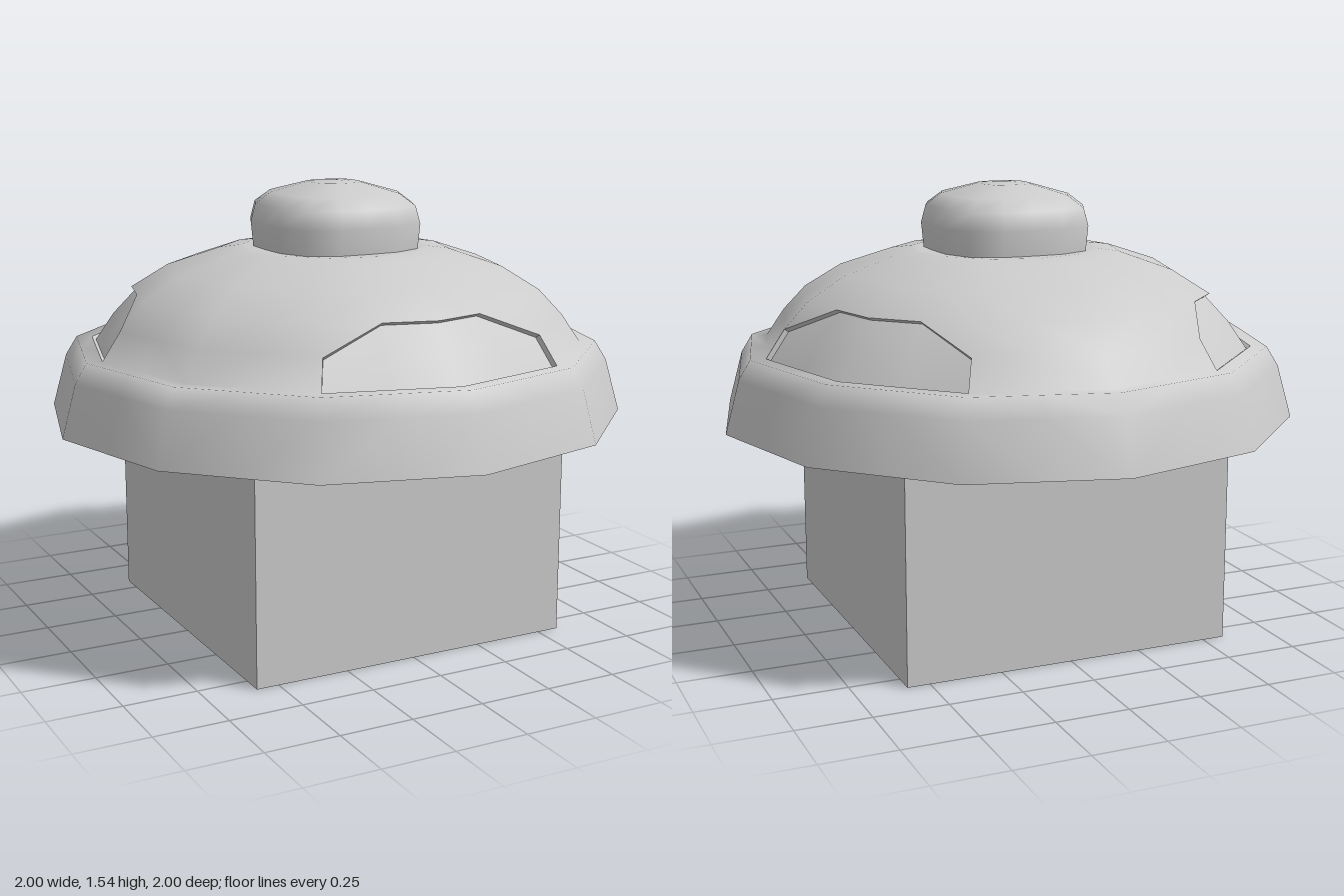
import * as THREE from 'three';

const material = new THREE.MeshStandardMaterial({ color: 0xcccccc });
const lipMaterial = new THREE.MeshStandardMaterial({ color: 0xcccccc, side: THREE.DoubleSide });

function mesh(name, geometry, mat = material) {
  const m = new THREE.Mesh(geometry, mat);
  m.name = name;
  return m;
}

function indexed(points, index) {
  const g = new THREE.BufferGeometry().setFromPoints(points);
  g.setIndex(index);
  g.computeVertexNormals();
  return g;
}

// Dome profile as [radius, height], from rim to crown
const PROFILE = [[1, 0.74], [0.95, 0.92], [0.91, 0.985], [0.855, 0.985], [0.79, 1.08],
  [0.71, 1.165], [0.58, 1.245], [0.4, 1.305], [0.32, 1.315]];
const COLS = 24; // twelve sides, each halved

function domePoint(col, row, inset = 0) {
  const a = col * Math.PI / 12;
  const r = (PROFILE[row][0] - inset) * (col % 2 ? Math.cos(Math.PI / 12) : 1);
  return new THREE.Vector3(Math.sin(a) * r, PROFILE[row][1] - inset * 0.7, Math.cos(a) * r);
}

// Two triangles of a cell; the diagonal follows the bevelled window corners
function cell(c, r) {
  const a = [c, r], b = [c + 1, r], d = [c + 1, r + 1], e = [c, r + 1];
  return ((c + COLS) % 8) >= 4 ? [[a, b, d], [a, d, e]] : [[a, b, e], [b, d, e]];
}

// True for triangles that belong to one of the three window openings
function inWindow(c, r, k) {
  const m = (c + COLS) % 8;
  if (r === 3) return m < 2 || m > 5;
  if (r === 4) return m === 0 || m === 7 || ((m === 1 || m === 6) && k === 0);
  return false;
}

function domeGeometry() {
  const points = [], all = [], kept = [];
  PROFILE.forEach((p, r) => {
    for (let c = 0; c < COLS; c++) points.push(domePoint(c, r));
  });
  for (let r = 0; r < PROFILE.length - 1; r++) {
    for (let c = 0; c < COLS; c++) {
      cell(c, r).forEach((tri, k) => {
        const ids = tri.map(([tc, tr]) => tr * COLS + tc % COLS);
        all.push(...ids);
        if (!inWindow(c, r, k)) kept.push(...ids);
      });
    }
  }
  const g = indexed(points, all); // normals of the closed dome
  g.setIndex(kept);
  return g;
}

// Recessed panel and the thin lip around it, centred on +z
function windowGroup(name) {
  const group = new THREE.Group();
  group.name = name;
  const inset = 0.014, points = [], index = [];
  for (let r = 3; r <= 5; r++) for (let c = -2; c <= 2; c++) points.push(domePoint(c, r, inset));
  for (let r = 3; r < 5; r++) {
    for (let c = -2; c < 2; c++) {
      cell(c, r).forEach((tri, k) => {
        if (inWindow(c, r, k)) index.push(...tri.map(([tc, tr]) => (tr - 3) * 5 + tc + 2));
      });
    }
  }
  group.add(mesh('windowPanel', indexed(points, index)));

  const loop = [[-2, 3], [-1, 3], [0, 3], [1, 3], [2, 3], [2, 4], [1, 5], [0, 5], [-1, 5], [-2, 4]];
  const lip = [];
  loop.forEach((p, i) => {
    const q = loop[(i + 1) % loop.length];
    const a = domePoint(...p), b = domePoint(...q);
    const c = domePoint(...q, inset), d = domePoint(...p, inset);
    lip.push(a, c, b, a, d, c);
  });
  const lipGeometry = new THREE.BufferGeometry().setFromPoints(lip);
  lipGeometry.computeVertexNormals();
  group.add(mesh('windowLip', lipGeometry, lipMaterial));
  return group;
}

// Rounded square knob made of rings, closed by a point on top
function knobGeometry() {
  const n = 16, rings = [[0.262, 1.31], [0.27, 1.4], [0.255, 1.46], [0.205, 1.5], [0.085, 1.535]];
  const points = [], index = [];
  rings.forEach(([radius, y]) => {
    for (let i = 0; i < n; i++) {
      const a = i / n * Math.PI * 2, s = Math.sin(a), c = Math.cos(a);
      const k = radius / Math.pow(Math.abs(s) ** 3.2 + Math.abs(c) ** 3.2, 1 / 3.2);
      points.push(new THREE.Vector3(s * k, y, c * k));
    }
  });
  points.push(new THREE.Vector3(0, 1.54, 0));
  for (let r = 0; r < rings.length; r++) {
    for (let i = 0; i < n; i++) {
      const a = r * n + i, b = r * n + (i + 1) % n;
      if (r === rings.length - 1) index.push(a, b, points.length - 1);
      else index.push(a, b, b + n, a, b + n, a + n);
    }
  }
  return indexed(points, index);
}

export function createModel() {
  const model = new THREE.Group();
  model.name = 'domedPost';

  // Square post
  const post = mesh('post', new THREE.BoxGeometry(1.154, 0.74, 1.154));
  post.position.y = 0.37;
  model.add(post);

  // Dome with its flat underside and crown
  model.add(mesh('dome', domeGeometry()));
  const underside = mesh('domeUnderside', new THREE.CircleGeometry(1, 12).rotateX(Math.PI / 2));
  underside.position.y = 0.74;
  const crown = mesh('domeCrown', new THREE.CircleGeometry(0.32, 12).rotateX(-Math.PI / 2));
  crown.position.y = 1.315;
  model.add(underside, crown);

  // Three windows evenly spaced around the dome
  ['frontWindow', 'leftWindow', 'rightWindow'].forEach((name, i) => {
    const w = windowGroup(name);
    w.rotation.y = i * Math.PI * 2 / 3;
    model.add(w);
  });

  model.add(mesh('knob', knobGeometry()));
  return model;
}
